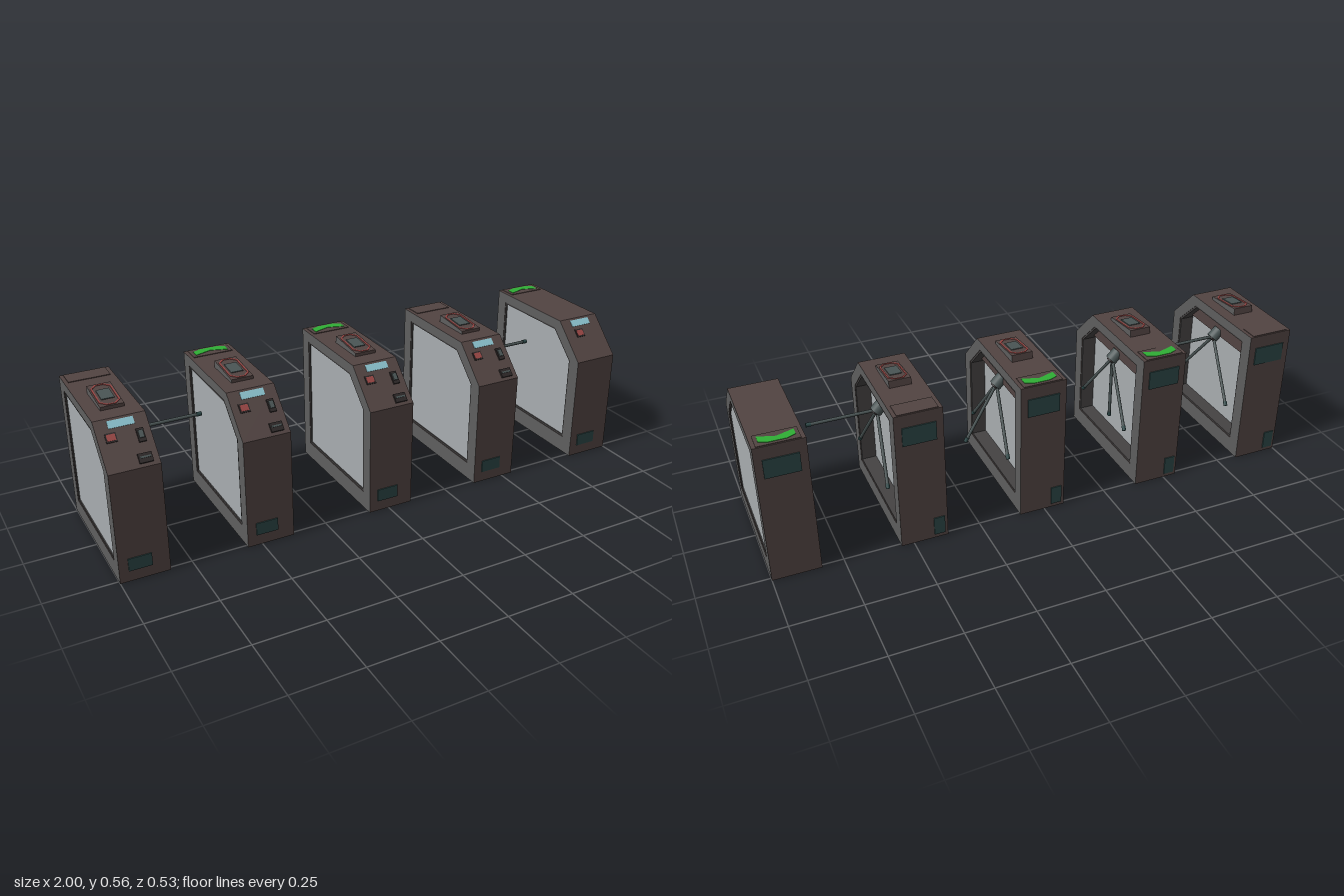
import * as THREE from 'three';

const W = 0.172;
const mat = (color) => new THREE.MeshStandardMaterial({ color });
const M = {
  body: mat(0x524442), frame: mat(0x5e5e5e), rim: mat(0x454343), glass: mat(0xa8adb0), dark: mat(0x2c2727),
  teal: mat(0x2b4646), steel: mat(0x4a5555), red: mat(0x9a4644), cyan: mat(0x8cc4d0), green: mat(0x2fae35),
};

// Side outlines as [z, y]
const OUTER = [[0.264, 0], [0.264, 0.4], [0.137, 0.528], [-0.263, 0.528], [-0.263, 0]];
const OPENING = [[0.215, 0.063], [0.215, 0.391], [0.111, 0.492], [-0.214, 0.492], [-0.214, 0.063]];
const PANE = [[0.208, 0.07], [0.208, 0.388], [0.108, 0.485], [-0.207, 0.485], [-0.207, 0.07]];
const HOUSING = [[0.185, 0.41], [0.108, 0.485], [-0.207, 0.485], [-0.207, 0.41]];
const toPoints = (list) => list.map(([z, y]) => new THREE.Vector2(-z, y));

function mesh(name, geometry, material, parent, x = 0, y = 0, z = 0) {
  const m = new THREE.Mesh(geometry, material);
  m.name = name;
  m.position.set(x, y, z);
  parent.add(m);
  return m;
}

function box(name, size, material, parent, x, y, z) {
  return mesh(name, new THREE.BoxGeometry(...size), material, parent, x, y, z);
}

// Extrude a side outline from x0 to x1; the hole winds against the outline
function slab(name, outline, hole, x0, x1, material, parent) {
  const shape = new THREE.Shape(toPoints(outline));
  if (hole) shape.holes.push(new THREE.Path(toPoints(hole).reverse()));
  const g = new THREE.ExtrudeGeometry(shape, { depth: x1 - x0, bevelEnabled: false });
  g.rotateY(Math.PI / 2);
  return mesh(name, g, material, parent, x0, 0, 0);
}

// Rod between two points
function rod(name, a, b, r, material, parent, sides = 12) {
  const dir = b.clone().sub(a);
  const m = mesh(name, new THREE.CylinderGeometry(r, r, dir.length(), sides), material, parent);
  m.position.copy(a).lerp(b, 0.5);
  m.quaternion.setFromUnitVectors(new THREE.Vector3(0, 1, 0), dir.normalize());
  return m;
}

// Rectangle with cut corners
function cutRect(w, h, c, Type = THREE.Shape) {
  const x = w / 2, y = h / 2;
  return new Type([[x, y - c], [x - c, y], [c - x, y], [-x, y - c], [-x, c - y], [c - x, -y], [x - c, -y], [x, c - y]]
    .map((p) => new THREE.Vector2(...p)));
}

// Three-armed barrier; the first arm folds down by the given angle
function addTripod(parent, drop) {
  const tripod = new THREE.Group();
  tripod.name = 'tripodBarrier';
  tripod.position.set(0.067, 0.405, 0);
  parent.add(tripod);
  const axis = new THREE.Vector3(1, -1, 0).normalize();
  const at = (t) => axis.clone().multiplyScalar(t);
  rod('hub', at(-0.035), at(0.008), 0.023, M.steel, tripod, 20);
  rod('hubCap', at(0.008), at(0.014), 0.015, M.dark, tripod, 20);

  const addArm = (direction, length) => {
    const p = (t) => direction.clone().normalize().multiplyScalar(t);
    rod('arm', p(0), p(length), 0.006, M.steel, tripod);
    rod('armTip', p(length - 0.015), p(length + 0.003), 0.0075, M.teal, tripod);
  };
  addArm(new THREE.Vector3(Math.cos(drop), -Math.sin(drop), 0), 0.25);
  for (const s of [1, -1]) addArm(new THREE.Vector3(0.028, -0.215, s * 0.17), 0.275);
}

// Ticket reader on the lid
function addTopReader(parent) {
  slab('topReader', [[0.072, 0.526], [0.072, 0.54], [-0.078, 0.554], [-0.081, 0.526]], null, -0.04, 0.04, [M.frame, M.body], parent);
  const panel = new THREE.Group();
  panel.name = 'topReaderPanel';
  panel.position.set(0, 0.547, -0.003);
  panel.rotation.x = 0.093 - Math.PI / 2;
  parent.add(panel);
  const ring = cutRect(0.07, 0.138, 0.02);
  ring.holes.push(cutRect(0.06, 0.128, 0.018, THREE.Path));
  mesh('readerRing', new THREE.ExtrudeGeometry(ring, { depth: 0.002, bevelEnabled: false }), M.red, panel);
  box('readerScreen', [0.044, 0.064, 0.004], M.steel, panel, 0, 0, 0.001);
}

// Chevron light on the rear of the lid
function addArrow(parent) {
  const s = new THREE.Shape([[-0.06, -0.022], [0, -0.002], [0.06, -0.022], [0.06, 0.01], [0.03, 0.023], [-0.03, 0.023], [-0.06, 0.01]]
    .map((p) => new THREE.Vector2(...p)));
  const g = new THREE.ExtrudeGeometry(s, { depth: 0.002, bevelEnabled: false });
  g.rotateX(-Math.PI / 2);
  mesh('arrowLight', g, M.green, parent, 0, 0.53, -0.225);
}

function addCabinet(parent, x, { drop, arrow, barrier = true }) {
  const cab = new THREE.Group();
  cab.name = barrier ? 'turnstile' : 'endCabinet';
  cab.position.x = x;
  parent.add(cab);
  const h = W / 2;

  // Shell, panes and rims; the barrier side is recessed behind its rim
  slab('shell', OUTER, OPENING, -h, h, [M.frame, M.body], cab);
  const inner = barrier ? 0.03 : h - 0.006;
  slab('sidePanes', OPENING, null, -h + 0.006, inner, M.glass, cab);
  slab('rightRim', OPENING, PANE, -h + 0.002, -h + 0.007, M.rim, cab);
  slab('leftRim', OPENING, PANE, inner - 0.001, h - 0.002, M.rim, cab);

  // Sloped control panel
  const slope = new THREE.Group();
  slope.name = 'controlPanel';
  slope.position.set(0, 0.464, 0.2005);
  slope.rotation.x = -Math.PI / 4;
  cab.add(slope);
  const readerX = barrier ? -0.043 : -0.022;
  box('display', [0.085, 0.026, 0.003], M.cyan, slope, 0, 0.069, 0.0005);
  box('cardReader', [0.036, 0.032, 0.005], M.dark, slope, readerX, 0.026, 0.001);
  box('cardReaderLight', [0.028, 0.022, 0.003], M.red, slope, readerX, 0.026, 0.003);
  if (barrier) {
    box('scannerBase', [0.024, 0.046, 0.007], M.dark, slope, 0.05, 0.014, 0.003);
    box('scanner', [0.016, 0.026, 0.012], M.steel, slope, 0.05, 0.016, 0.005);
    box('ticketSlot', [0.045, 0.032, 0.01], M.dark, slope, 0.042, -0.062, 0.002);
    box('ticketSlotLip', [0.035, 0.006, 0.003], M.steel, slope, 0.042, -0.06, 0.0075);
  }

  // Service plates and lid plate
  box('frontPlate', [0.08, 0.046, 0.008], M.teal, cab, -0.014, 0.063, 0.264);
  box('rearPlate', [0.12, 0.07, 0.008], M.teal, cab, 0, 0.445, -0.263);
  box('lidPlate', [0.145, 0.005, 0.068], M.body, cab, 0, 0.528, -0.225);
  if (arrow) addArrow(cab);
  if (barrier) {
    box('rearLowerPlate', [0.04, 0.07, 0.008], M.teal, cab, -0.055, 0.05, -0.263);
    slab('barrierHousing', HOUSING, null, inner, 0.05, M.body, cab);
    addTopReader(cab);
    addTripod(cab, drop);
  }
}

export function createModel() {
  const model = new THREE.Group();
  model.name = 'turnstileRow';
  addCabinet(model, -0.914, { drop: 0, arrow: false });
  addCabinet(model, -0.466, { drop: Math.PI / 2, arrow: true });
  addCabinet(model, 0.008, { drop: Math.PI / 3, arrow: true });
  addCabinet(model, 0.459, { drop: 0, arrow: false });
  addCabinet(model, 0.914, { barrier: false, arrow: true });
  return model;
}
